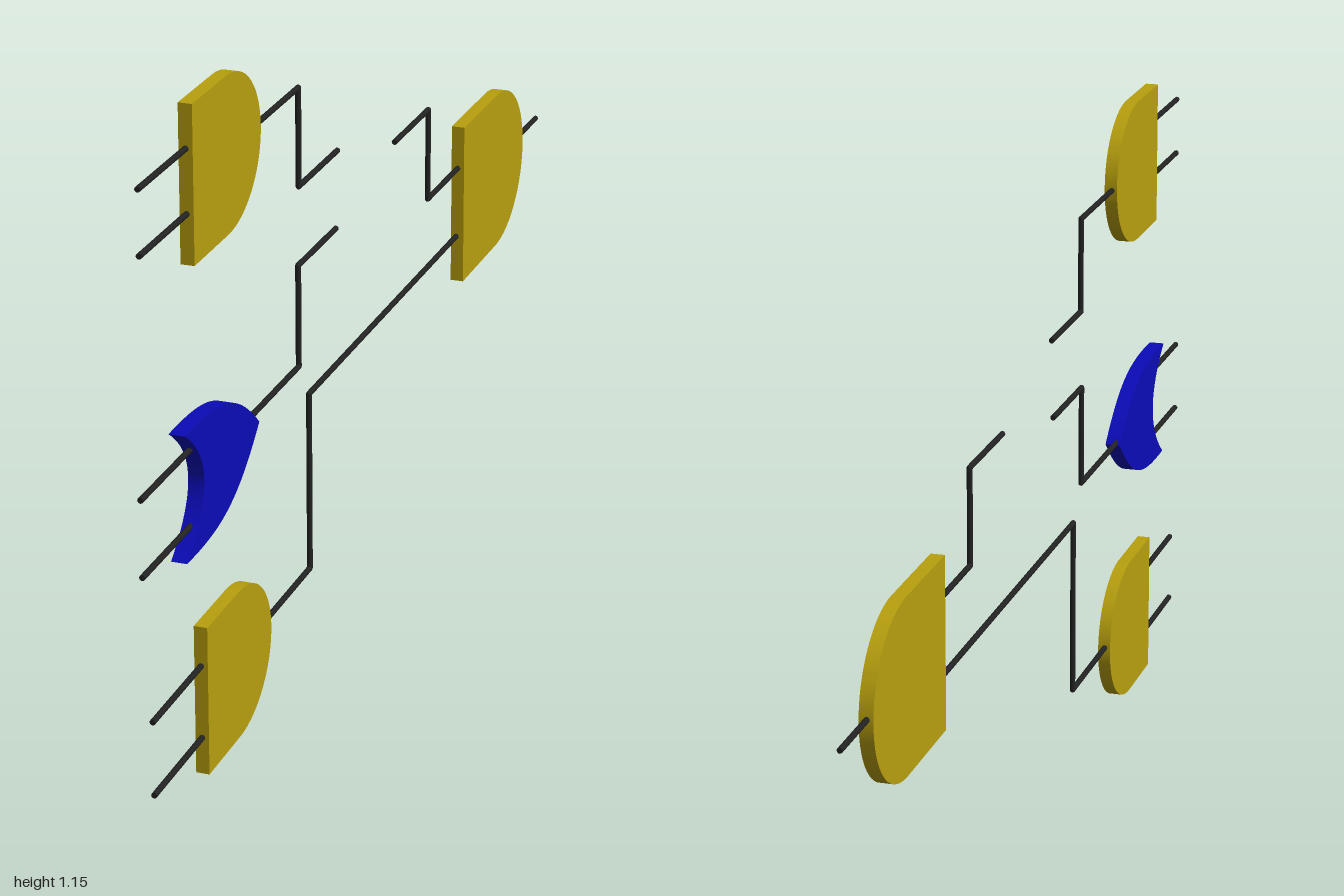
import * as THREE from 'three';
import { toCreasedNormals } from 'three/addons/utils/BufferGeometryUtils.js';

const yellow = new THREE.MeshStandardMaterial({ color: 0xb8a00e });
const blue = new THREE.MeshStandardMaterial({ color: 0x0b0bb8 });
const dark = new THREE.MeshStandardMaterial({ color: 0x222222 });
const WIRE_R = 0.005;

// Thin plate from an outline drawn in (-z, y), centred on x
function plate(shape, thickness, material, name, x = 0) {
  const geo = new THREE.ExtrudeGeometry(shape, { depth: thickness, bevelEnabled: false, curveSegments: 24 });
  geo.translate(0, 0, -thickness / 2);
  geo.rotateY(Math.PI / 2);
  const mesh = new THREE.Mesh(toCreasedNormals(geo, 0.6), material);
  mesh.position.x = x;
  mesh.name = name;
  return mesh;
}

// Flat back, rounded nose
function andShape(back, nose, bottom, top, round) {
  const s = new THREE.Shape();
  const mid = (bottom + top) / 2;
  s.moveTo(-back, bottom);
  s.lineTo(-nose - round, bottom);
  s.absellipse(-nose - round, mid, round, (top - bottom) / 2, -Math.PI / 2, Math.PI / 2, false);
  s.lineTo(-back, top);
  s.closePath();
  return s;
}

// Concave back, pointed nose
function orShape(back, nose, bottom, top) {
  const s = new THREE.Shape();
  const mid = (bottom + top) / 2 + 0.003;
  s.moveTo(-back, bottom);
  s.bezierCurveTo(-back + 0.14, bottom - 0.004, -nose - 0.1, bottom + 0.01, -nose, mid);
  s.bezierCurveTo(-nose - 0.1, top - 0.01, -back + 0.14, top + 0.004, -back, top);
  s.quadraticCurveTo(-back + 0.152, mid, -back, bottom);
  return s;
}

// Round wire through (z, y) points, with square-cut ends and filled corners
function wire(name, points, x = 0) {
  const group = new THREE.Group();
  group.name = name;
  const pts = points.map(([z, y]) => new THREE.Vector3(x, y, z));
  for (let i = 0; i < pts.length - 1; i++) {
    const dir = pts[i + 1].clone().sub(pts[i]);
    const seg = new THREE.Mesh(new THREE.CylinderGeometry(WIRE_R, WIRE_R, dir.length(), 12), dark);
    seg.position.copy(pts[i]).addScaledVector(dir, 0.5);
    seg.quaternion.setFromUnitVectors(new THREE.Vector3(0, 1, 0), dir.normalize());
    seg.name = 'wireSegment';
    group.add(seg);
    if (i > 0) {
      const joint = new THREE.Mesh(new THREE.SphereGeometry(WIRE_R, 12, 8), dark);
      joint.position.copy(pts[i]);
      joint.name = 'wireCorner';
      group.add(joint);
    }
  }
  return group;
}

export function createModel() {
  const model = new THREE.Group();
  model.name = 'logicCircuit';

  // Gates
  model.add(
    plate(andShape(0.797, 0.513, 0.887, 1.147, 0.145), 0.023, yellow, 'upperAndGate'),
    plate(orShape(0.853, 0.538, 0.412, 0.628), 0.027, blue, 'middleOrGate'),
    plate(andShape(0.77, 0.488, 0, 0.262, 0.145), 0.023, yellow, 'lowerAndGate'),
    plate(andShape(-0.513, -0.875, 0.373, 0.675, 0.165), 0.024, yellow, 'outputAndGate', 0.001),
  );

  // Input leads, in pairs: outer z, inner z, heights
  const inputs = [
    ['upperInput', 0.985, 0.79, [1.075, 0.97]],
    ['middleInput', 1, 0.79, [0.582, 0.453]],
    ['lowerInput', 0.972, 0.765, [0.193, 0.065]],
  ];
  for (const [name, z0, z1, heights] of inputs) {
    for (const y of heights) model.add(wire(name, [[z0, y], [z1, y]]));
  }

  // Connecting wires
  model.add(
    wire('upperOutput', [[0.52, 1.015], [0.31, 1.015], [0.31, 0.845], [0.125, 0.845]], -0.002),
    wire('middleOutput', [[0.55, 0.525], [0.307, 0.525], [0.307, 0.705], [0.125, 0.705]], -0.005),
    wire('lowerOutput', [[0.495, 0.138], [0.27, 0.138], [0.27, 0.461], [-0.52, 0.461]], -0.001),
    wire('finalInput', [[-0.157, 0.765], [-0.341, 0.765], [-0.341, 0.595], [-0.52, 0.595]], 0.001),
    wire('finalOutput', [[-0.87, 0.532], [-1, 0.532]]),
  );
  return model;
}
